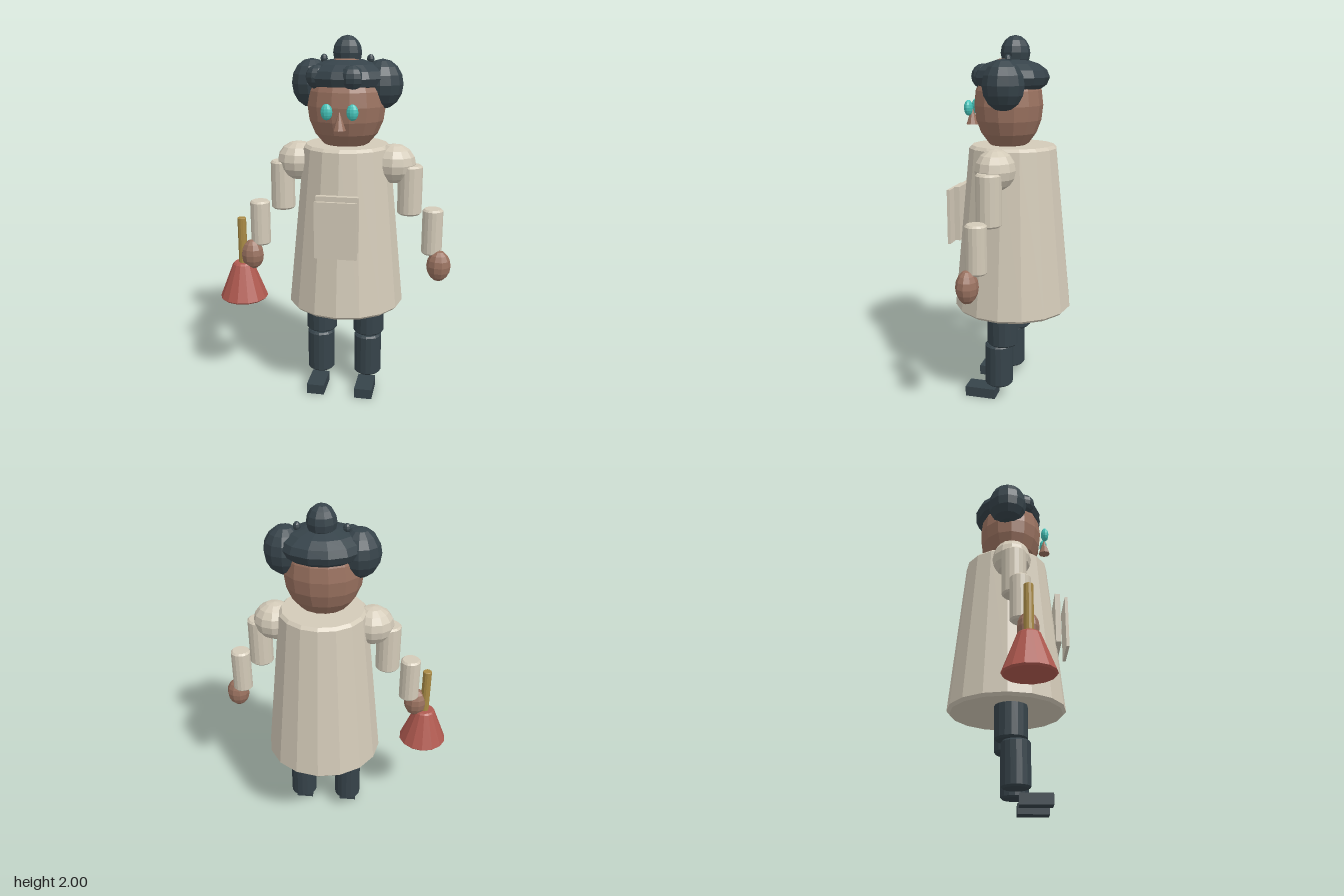
import * as THREE from 'three';

export function createModel() {
  const root = new THREE.Group();
  const body = new THREE.Group();
  body.name = 'figure';
  body.position.x = 0.06; // the held tool shifts the figure off centre
  root.add(body);

  const mat = (color) => new THREE.MeshStandardMaterial({ color, flatShading: true });
  const cloth = mat(0xd3cab8), skin = mat(0x9a7260), dark = mat(0x36434a);
  const teal = mat(0x45c4ba), red = mat(0xb05a50), wood = mat(0xa88a45);

  const add = (name, geometry, material, x, y, z) => {
    const mesh = new THREE.Mesh(geometry, material);
    mesh.name = name;
    mesh.position.set(x, y, z);
    body.add(mesh);
    return mesh;
  };

  // Faceted ellipsoid
  const ball = (name, material, [x, y, z], [rx, ry, rz], seg = 12, rings = 8) =>
    add(name, new THREE.SphereGeometry(1, seg, rings).scale(rx, ry, rz), material, x, y, z);

  // Closed tapered cylinder with bevelled rims, from y0 to y1
  const drum = (name, material, x, z, y0, y1, r0, r1, bevel = 0.01, seg = 16) => {
    const h = y1 - y0;
    const profile = [
      [0, 0], [r0 - bevel, 0], [r0, bevel],
      [r1, h - bevel], [r1 - bevel, h], [0, h],
    ].map(([r, y]) => new THREE.Vector2(r, y));
    return add(name, new THREE.LatheGeometry(profile, seg), material, x, y0, z);
  };

  // Box given by its extents in y and z
  const slab = (name, material, x, w, y0, y1, z0, z1) =>
    add(name, new THREE.BoxGeometry(w, y1 - y0, z1 - z0), material, x, (y0 + y1) / 2, (z0 + z1) / 2);

  // Coat and chest pocket panels
  drum('coat', cloth, 0, -0.012, 0.515, 1.43, 0.326, 0.238, 0.016);
  slab('pocket', cloth, 0, 0.225, 0.9, 1.2, 0.262, 0.292);
  slab('pocketPanel', cloth, 0, 0.225, 0.875, 1.18, 0.318, 0.335);

  // Head and face
  ball('head', skin, [0, 1.64, 0.012], [0.213, 0.25, 0.183], 14, 10);
  add('nose', new THREE.ConeGeometry(0.034, 0.1, 8), skin, 0, 1.582, 0.217);

  // Hair: cap, top bun and front curls
  ball('hairCap', dark, [0, 1.785, -0.005], [0.23, 0.098, 0.2], 14, 8);
  ball('topBun', dark, [0, 1.91, -0.025], [0.078, 0.09, 0.078], 10, 8);
  ball('frontCurlRight', dark, [-0.14, 1.79, 0.09], [0.063, 0.063, 0.063], 10, 8);
  ball('frontCurlLeft', dark, [0.05, 1.79, 0.137], [0.066, 0.066, 0.064], 10, 8);

  // Mirrored parts
  for (const [side, s] of [['Left', 1], ['Right', -1]]) {
    ball('eye' + side, teal, [s * 0.067, 1.625, 0.217], [0.031, 0.042, 0.023], 10, 8);
    ball('sideBun' + side, dark, [s * 0.19, 1.75, -0.01], [0.112, 0.131, 0.112], 12, 8);
    ball('hairPin' + side, dark, [s * 0.125, 1.878, -0.018], [0.02, 0.025, 0.02], 8, 6);

    // Arm
    ball('shoulder' + side, cloth, [s * 0.265, 1.33, 0.012], [0.118, 0.108, 0.108], 12, 8);
    drum('upperArm' + side, cloth, s * 0.355, 0.022, 1.055, 1.327, 0.067, 0.067);
    drum('forearm' + side, cloth, s * 0.485, 0.05, 0.842, 1.097, 0.056, 0.056);
    ball('hand' + side, skin, [s * 0.528, 0.785, 0.085], [0.066, 0.087, 0.058], 10, 8);

    // Leg
    drum('thigh' + side, dark, s * 0.138, 0.01, 0.33, 0.6, 0.088, 0.088);
    drum('shin' + side, dark, s * 0.138, 0.034, 0.085, 0.329, 0.078, 0.078);
    slab('foot' + side, dark, s * 0.138, 0.1, 0, 0.057, 0.048, 0.22);
  }

  // Plunger held in the right hand
  drum('plungerHandle', wood, -0.585, 0.086, 0.7, 1.0, 0.025, 0.025, 0.003, 12);
  drum('plungerCup', red, -0.585, 0.086, 0.52, 0.735, 0.137, 0.06, 0.009, 14);

  return root;
}
